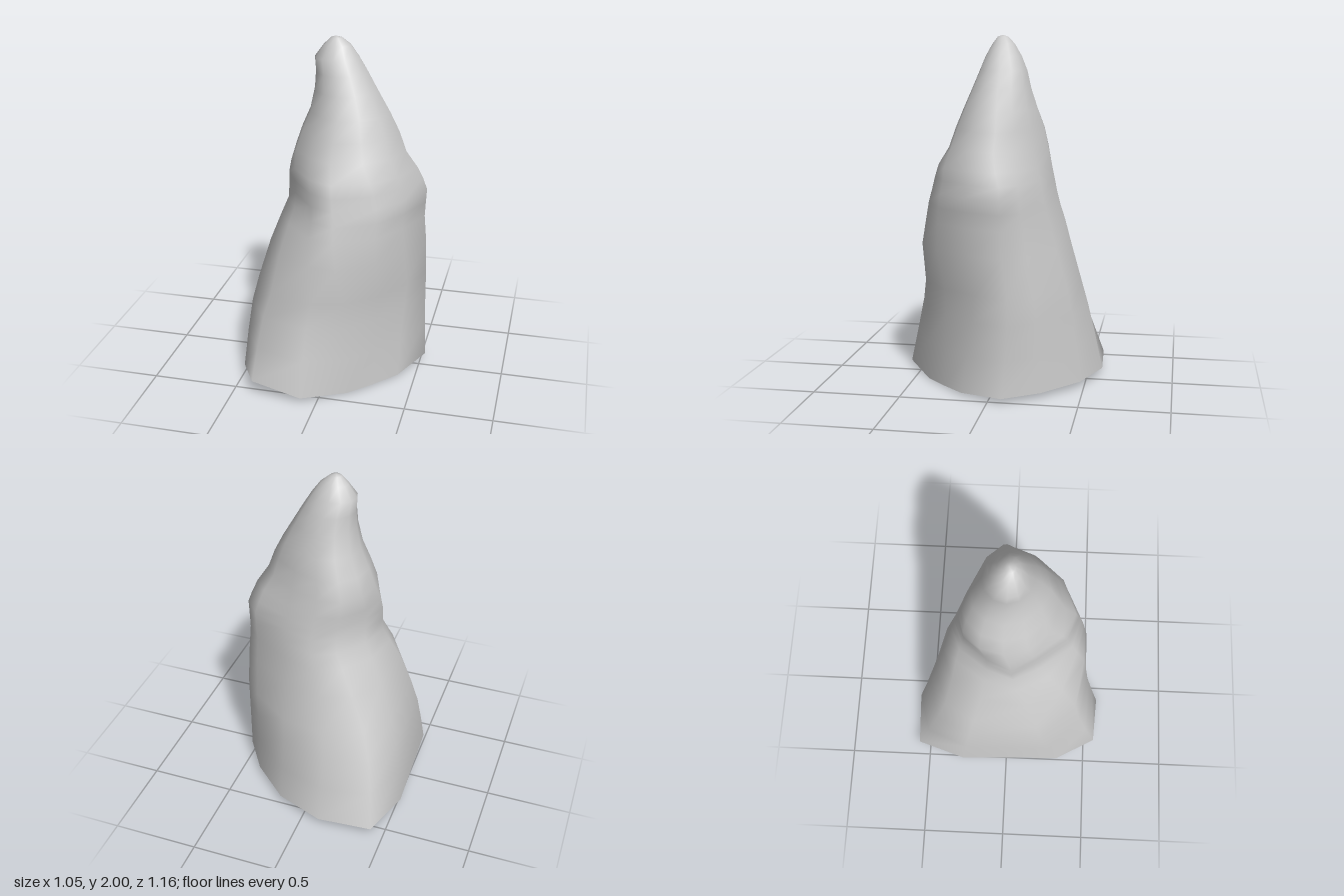
import * as THREE from 'three';

// Outlines as [x, z] corners, running +x, -z, -x, +z
const foot = [
  [0.525, -0.08], [0.39, -0.28], [0.17, -0.48], [-0.11, -0.585], [-0.43, -0.57], [-0.525, -0.28],
  [-0.5, 0.33], [-0.38, 0.56], [-0.09, 0.58], [0.15, 0.415], [0.28, 0.295], [0.4, 0.17],
];
const waist = [
  [0.51, -0.11], [0.4, -0.24], [0.17, -0.4], [-0.09, -0.455], [-0.32, -0.38], [-0.425, -0.2],
  [-0.44, 0.18], [-0.3, 0.415], [-0.05, 0.473], [0.13, 0.43], [0.3, 0.28], [0.43, 0.09],
];
const shoulder = [
  [0.505, -0.065], [0.42, -0.16], [0.2, -0.26], [0.02, -0.32], [-0.11, -0.27], [-0.23, -0.12],
  [-0.29, 0.02], [-0.215, 0.16], [-0.08, 0.34], [0.06, 0.405], [0.285, 0.305], [0.41, 0.14],
];
const neck = [
  [0.35, -0.01], [0.29, -0.1], [0.16, -0.185], [0.01, -0.24], [-0.11, -0.225], [-0.19, -0.14],
  [-0.22, -0.02], [-0.19, 0.1], [-0.09, 0.21], [0.03, 0.28], [0.18, 0.24], [0.295, 0.135],
];
const tip = foot.map((_, i) => [Math.cos(i * Math.PI / 6), -Math.sin(i * Math.PI / 6)]);

// Uneven height of the open lower rim
const rim = [0.03, 0.03, 0.035, 0.035, 0.045, 0.05, 0.05, 0.09, 0.03, 0, 0.005, 0.01];

// Extents per level: height, left, right, back, front
const levels = [
  [0.00, -0.525, 0.525, -0.585, 0.58],
  [0.22, -0.50, 0.515, -0.54, 0.535],
  [0.42, -0.475, 0.51, -0.495, 0.495],
  [0.58, -0.44, 0.51, -0.455, 0.473],
  [0.80, -0.38, 0.507, -0.40, 0.46],
  [0.95, -0.327, 0.495, -0.365, 0.44],
  [1.04, -0.292, 0.50, -0.34, 0.425],
  [1.12, -0.29, 0.505, -0.32, 0.405],
  [1.19, -0.29, 0.48, -0.305, 0.39],
  [1.26, -0.28, 0.452, -0.29, 0.37],
  [1.36, -0.255, 0.388, -0.268, 0.31],
  [1.47, -0.217, 0.347, -0.245, 0.27],
  [1.58, -0.168, 0.293, -0.21, 0.222],
  [1.70, -0.14, 0.225, -0.17, 0.17],
  [1.80, -0.133, 0.168, -0.145, 0.13],
  [1.88, -0.137, 0.12, -0.11, 0.10],
  [1.95, -0.085, 0.07, -0.07, 0.06],
  [1.99, -0.045, 0.02, -0.03, 0.03],
];

// Scale values to run from lo to hi
function fit(values, lo, hi) {
  const min = Math.min(...values), max = Math.max(...values);
  return values.map((v) => lo + (hi - lo) * (v - min) / (max - min));
}

// Outline rescaled to the unit square
function unit(outline) {
  const xs = fit(outline.map((p) => p[0]), 0, 1);
  const zs = fit(outline.map((p) => p[1]), 0, 1);
  return xs.map((x, i) => [x, zs[i]]);
}

// Heights at which each outline applies
const keys = [
  [0, foot], [0.58, waist], [1.08, shoulder], [1.2, shoulder],
  [1.36, neck], [1.5, neck], [1.9, tip], [2, tip],
].map(([y, outline]) => ({ y, shape: unit(outline) }));

function spireGeometry() {
  const n = foot.length;
  const positions = [], index = [];

  for (const [y, left, right, back, front] of levels) {
    const k = keys.findIndex((key) => key.y > y);
    const from = keys[k - 1], to = keys[k];
    const t = (y - from.y) / (to.y - from.y);
    const mix = (axis) => from.shape.map((p, i) => THREE.MathUtils.lerp(p[axis], to.shape[i][axis], t));
    const xs = fit(mix(0), left, right), zs = fit(mix(1), back, front);
    const rimWeight = Math.max(0, 1 - y / 0.6);
    for (let i = 0; i < n; i++) positions.push(xs[i], y + rim[i] * rimWeight, zs[i]);
  }
  positions.push(-0.015, 2, 0);

  for (let j = 0; j < levels.length - 1; j++) {
    for (let i = 0; i < n; i++) {
      const a = j * n + i, b = j * n + (i + 1) % n;
      index.push(a, b, b + n, a, b + n, a + n);
    }
  }
  // Close the peak
  const last = (levels.length - 1) * n;
  for (let i = 0; i < n; i++) index.push(last + i, last + (i + 1) % n, last + n);

  const geometry = new THREE.BufferGeometry();
  geometry.setAttribute('position', new THREE.Float32BufferAttribute(positions, 3));
  geometry.setIndex(index);
  geometry.computeVertexNormals();
  return geometry;
}

export function createModel() {
  const group = new THREE.Group();
  group.name = 'rockSpire';
  // Hollow shell, open underneath
  const material = new THREE.MeshStandardMaterial({ color: 0xcccccc, side: THREE.DoubleSide });
  const shell = new THREE.Mesh(spireGeometry(), material);
  shell.name = 'rockShell';
  group.add(shell);
  return group;
}
